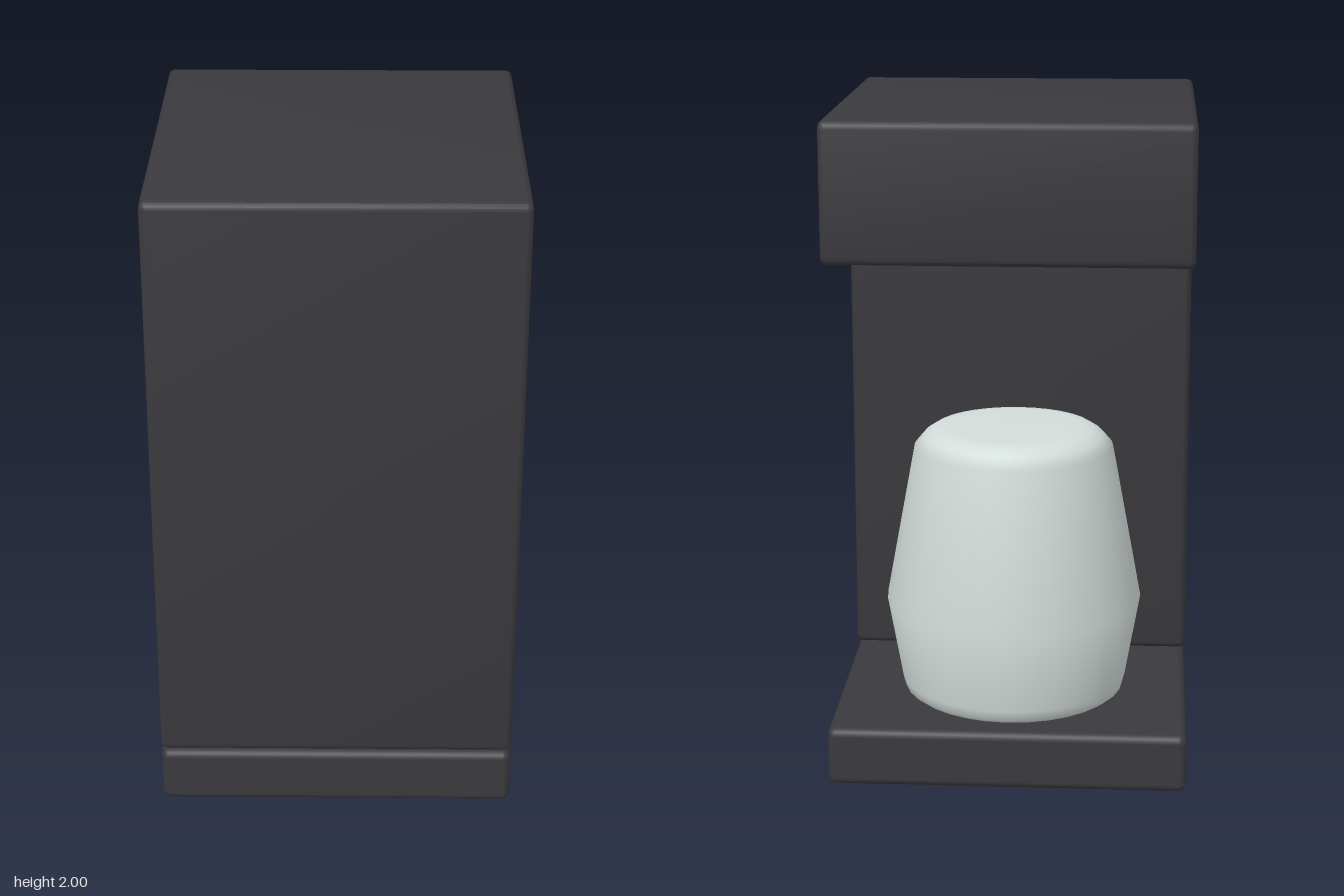
import * as THREE from 'three';
import { RoundedBoxGeometry } from 'three/addons/geometries/RoundedBoxGeometry.js';
import { toCreasedNormals } from 'three/addons/utils/BufferGeometryUtils.js';

const WIDTH = 1.08;
const BEVEL = 0.018;

// Closed outline with a small rounding on every corner
function roundedOutline(corners, r) {
  const shape = new THREE.Shape();
  const pts = corners.map(([x, y]) => new THREE.Vector2(x, y));
  pts.forEach((p, i) => {
    const prev = pts[(i + pts.length - 1) % pts.length];
    const next = pts[(i + 1) % pts.length];
    const a = p.clone().add(prev.clone().sub(p).setLength(r));
    const b = p.clone().add(next.clone().sub(p).setLength(r));
    if (i === 0) shape.moveTo(a.x, a.y);
    else shape.lineTo(a.x, a.y);
    shape.quadraticCurveTo(p.x, p.y, b.x, b.y);
  });
  shape.closePath();
  return shape;
}

export function createModel() {
  const model = new THREE.Group();
  const charcoal = new THREE.MeshStandardMaterial({ color: 0x3a393d });
  charcoal.name = 'charcoal';
  const paleGlass = new THREE.MeshStandardMaterial({ color: 0xd2dcd9 });
  paleGlass.name = 'paleGlass';

  const add = (name, geometry, material) => {
    const mesh = new THREE.Mesh(geometry, material);
    mesh.name = name;
    model.add(mesh);
    return mesh;
  };

  // Base plate
  add('base', new RoundedBoxGeometry(WIDTH, 0.18, 1.205, 3, 0.025), charcoal)
    .position.set(0, 0.09, 0);

  // Tower and overhanging head as one body; side outline (z, y) inset by the bevel
  const b = BEVEL;
  const outline = roundedOutline([
    [0.602 - b, 0.187 + b], [0.602 - b, 2 - b], [-0.54 + b, 2 - b],
    [-0.54 + b, 1.583 + b], [0.128 + b, 1.583 + b], [0.128 + b, 0.187 + b],
  ], 0.008);
  const depth = WIDTH - 2 * b;
  const body = new THREE.ExtrudeGeometry(outline, {
    depth, bevelThickness: b, bevelSize: b, bevelSegments: 3, curveSegments: 3,
  });
  body.translate(0, 0, -depth / 2).rotateY(-Math.PI / 2);
  add('body', toCreasedNormals(body, 0.6), charcoal);

  // Jug: widest below the middle, tapering to a rounded shoulder
  const profile = [
    [0, 0.185], [0.32, 0.185], [0.34, 0.2], [0.348, 0.23], [0.394, 0.49],
    [0.305, 0.97], [0.275, 1.005], [0.245, 1.024], [0.205, 1.03], [0, 1.03],
  ].map(([x, y]) => new THREE.Vector2(x, y));
  add('jug', new THREE.LatheGeometry(profile, 32), paleGlass)
    .position.set(0, 0, -0.209);

  return model;
}
